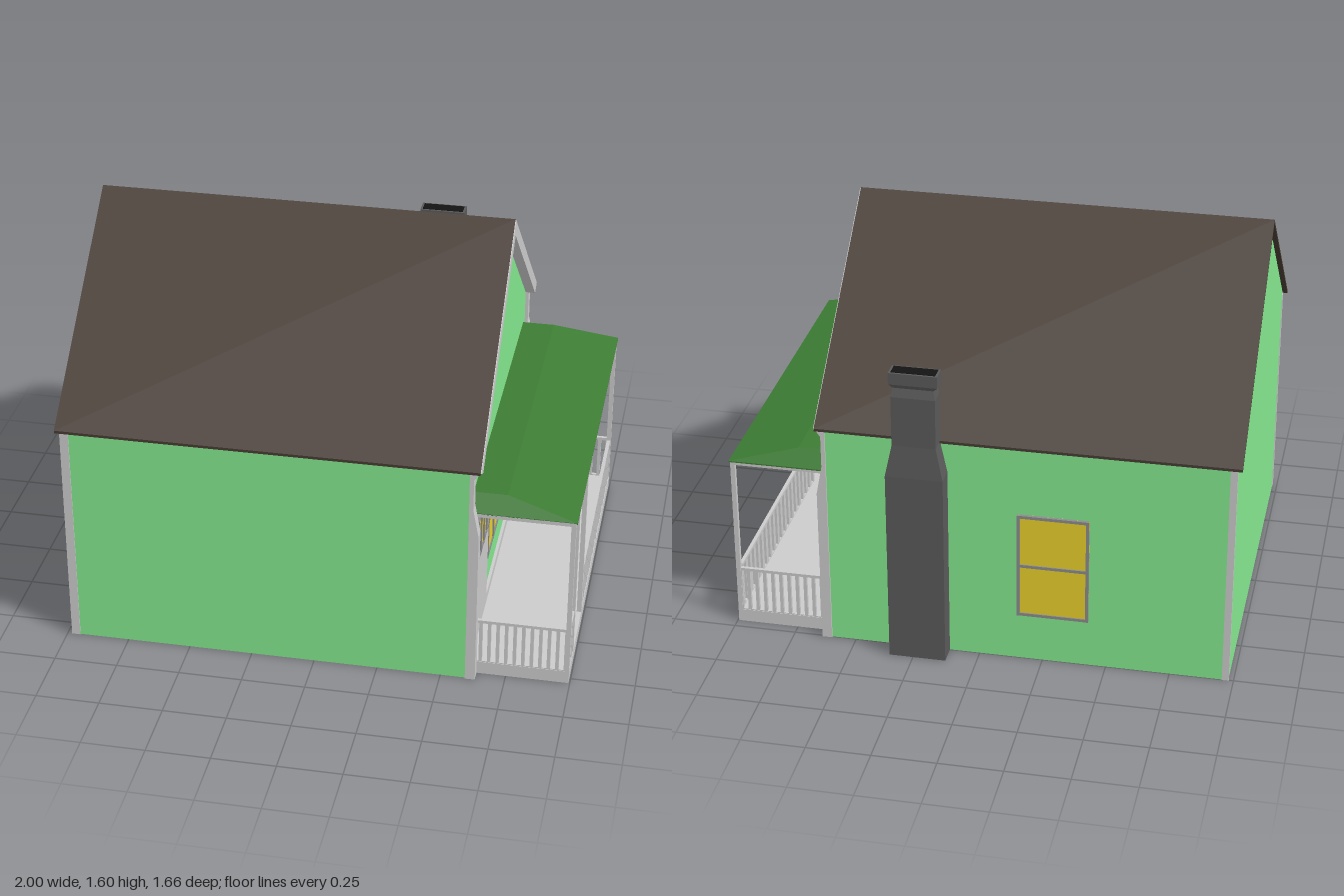
import * as THREE from 'three';
import { ConvexGeometry } from 'three/addons/geometries/ConvexGeometry.js';

const mat = (color) => new THREE.MeshStandardMaterial({ color, flatShading: true });
const grey = mat(0xcccccc), green = mat(0x84e88e), roofBrown = mat(0x463a32), porchGreen = mat(0x3d7d34);
const glass = mat(0xe8cf2c), sash = mat(0x8c8c8c), stone = mat(0x5a5a5a), soot = mat(0x141414);

function add(parent, name, geometry, material) {
  const mesh = new THREE.Mesh(geometry, material);
  mesh.name = name;
  parent.add(mesh);
  return mesh;
}

// Box given by its minimum and maximum corners
function box(parent, name, material, x0, x1, y0, y1, z0, z1) {
  const mesh = add(parent, name, new THREE.BoxGeometry(x1 - x0, y1 - y0, z1 - z0), material);
  mesh.position.set((x0 + x1) / 2, (y0 + y1) / 2, (z0 + z1) / 2);
  return mesh;
}

// Extrude a [z, y] outline along x
function extrudeX(parent, name, material, points, x0, x1) {
  const shape = new THREE.Shape(points.map(([z, y]) => new THREE.Vector2(-z, y)));
  const geo = new THREE.ExtrudeGeometry(shape, { depth: x1 - x0, bevelEnabled: false });
  geo.rotateY(Math.PI / 2).translate(x0, 0, 0);
  return add(parent, name, geo, material);
}

// Window facing +z, with evenly spaced bars
function makeWindow(name, w, h, cols, rows) {
  const g = new THREE.Group();
  g.name = name;
  const t = 0.012;
  box(g, 'glass', glass, -w / 2, w / 2, -h / 2, h / 2, -0.004, 0.004);
  for (let i = 0; i <= cols; i++) {
    const x = -w / 2 + t / 2 + (i * (w - t)) / cols;
    box(g, 'windowBar', sash, x - t / 2, x + t / 2, -h / 2, h / 2, -0.004, 0.01);
  }
  for (let j = 0; j <= rows; j++) {
    const y = -h / 2 + t / 2 + (j * (h - t)) / rows;
    box(g, 'windowBar', sash, -w / 2, w / 2, y - t / 2, y + t / 2, -0.004, 0.009);
  }
  return g;
}

// Slotted railing panel along local x, from 0 to length
function makeRailing(name, length, slots, slotWidth) {
  const shape = new THREE.Shape();
  shape.moveTo(0, 0.02).lineTo(length, 0.02).lineTo(length, 0.245).lineTo(0, 0.245).closePath();
  const pitch = length / slots;
  for (let i = 0; i < slots; i++) {
    const x = (i + 0.5) * pitch - slotWidth / 2;
    const hole = new THREE.Path();
    hole.moveTo(x, 0.057).lineTo(x, 0.233).lineTo(x + slotWidth, 0.233).lineTo(x + slotWidth, 0.057).closePath();
    shape.holes.push(hole);
  }
  const geo = new THREE.ExtrudeGeometry(shape, { depth: 0.014, bevelEnabled: false }).translate(0, 0, -0.007);
  const g = new THREE.Group();
  g.name = name;
  add(g, 'railingPanel', geo, grey);
  return g;
}

function buildHouse(root) {
  const mid = 0.035;
  extrudeX(root, 'walls', green,
    [[0.82, 0], [0.82, 0.931], [mid, 1.588], [-0.75, 0.931], [-0.75, 0]], -0.98, 0.6);
  extrudeX(root, 'mainRoof', roofBrown,
    [[0.83, 0.935], [mid, 1.6], [-0.76, 0.935], [-0.76, 0.924], [mid, 1.588], [0.83, 0.924]], -1, 0.637);
  extrudeX(root, 'gableTrim', grey,
    [[0.829, 0.932], [mid, 1.597], [-0.759, 0.932], [-0.71, 0.907], [mid, 1.53], [0.78, 0.907]], 0.597, 0.64);

  // Corner boards on the porch end, pinched in below the eaves
  const profile = new THREE.Shape([[0.597, 0], [0.636, 0], [0.636, 0.65], [0.613, 0.77], [0.613, 0.9],
    [0.638, 0.935], [0.597, 0.935]].map(([x, y]) => new THREE.Vector2(x, y)));
  for (const z of [0.78, -0.757]) {
    const geo = new THREE.ExtrudeGeometry(profile, { depth: 0.047, bevelEnabled: false });
    add(root, 'cornerBoard', geo.translate(0, 0, z), grey);
  }
  // Corner boards on the plain end
  box(root, 'cornerBoard', grey, -0.982, -0.948, 0, 0.928, 0.8, 0.824);
  box(root, 'cornerBoard', grey, -0.982, -0.955, 0, 0.928, -0.754, -0.74);

  const back = makeWindow('backWindow', 0.28, 0.445, 1, 2);
  back.position.set(-0.29, 0.4225, -0.753);
  back.rotation.y = Math.PI;
  root.add(back);
}

function buildPorchWall(root) {
  for (const [z0, z1] of [[0.04, 0.352], [-0.55, -0.27]]) {
    const w = makeWindow('porchWindow', z1 - z0, 0.4, 2, 2);
    w.position.set(0.603, 0.45, (z0 + z1) / 2);
    w.rotation.y = Math.PI / 2;
    root.add(w);
  }
  // Door with a row of four panes
  const door = new THREE.Group();
  door.name = 'door';
  box(door, 'doorFrame', grey, 0.598, 0.608, 0.05, 0.65, 0.352, 0.706);
  box(door, 'doorPanel', grey, 0.6, 0.614, 0.07, 0.45, 0.38, 0.69);
  const panes = makeWindow('doorPanes', 0.31, 0.19, 4, 1);
  panes.position.set(0.61, 0.54, 0.535);
  panes.rotation.y = Math.PI / 2;
  door.add(panes);
  root.add(door);
}

function buildPorch(root) {
  const porch = new THREE.Group();
  porch.name = 'porch';
  root.add(porch);
  const zF = 0.78, zB = -0.707;
  box(porch, 'porchFloor', grey, 0.6, 0.995, 0, 0.053, zB, zF);
  box(porch, 'baseboard', grey, 0.598, 0.612, 0.05, 0.09, zB, zF);

  // Posts and the beam they carry
  for (const z of [zF - 0.009, 0.637, 0.357, zB + 0.009])
    box(porch, 'porchPost', grey, 0.977, 0.995, 0, 0.72, z - 0.009, z + 0.009);
  box(porch, 'frontBeam', grey, 0.977, 0.995, 0.705, 0.727, zB, zF);
  for (const z of [zF - 0.018, zB])
    box(porch, 'sideBeam', grey, 0.6, 0.99, 0.712, 0.727, z, z + 0.018);
  box(porch, 'ceiling', grey, 0.6, 0.99, 0.718, 0.727, zB, zF);

  // Hipped roof with a short flat top at the wall
  const pts = [];
  for (const [edge, top] of [[zF, 0.728], [zB - 0.003, -0.66]])
    pts.push([0.6, 0.724, edge], [1, 0.724, edge], [1, 0.729, edge], [0.6, 0.729, edge],
      [0.6, 0.79, top], [0.73, 0.79, top]);
  add(porch, 'porchRoof', new ConvexGeometry(pts.map((p) => new THREE.Vector3(...p))), porchGreen);

  // Railings: two along the outer edge with a gap for the door, one at each side
  for (const [z, len, n] of [[0.363, 1.036, 19], [0.772, 0.136, 3]]) {
    const r = makeRailing('outerRailing', len, n, 0.029);
    r.position.set(0.986, 0, z);
    r.rotation.y = Math.PI / 2;
    porch.add(r);
  }
  for (const z of [zF - 0.009, zB + 0.009]) {
    const r = makeRailing('sideRailing', 0.365, 11, 0.02);
    r.position.set(0.615, 0, z);
    porch.add(r);
  }
}

// Chimney lofted through rectangular sections: [y, half width, near z, far z]
function buildChimney(root) {
  const chimney = new THREE.Group();
  chimney.name = 'chimney';
  root.add(chimney);
  const cx = 0.232;
  const sections = [[0, 0.112, -0.745, -0.832], [0.8, 0.112, -0.745, -0.832], [0.93, 0.085, -0.745, -0.822],
    [1.135, 0.085, -0.745, -0.822], [1.17, 0.078, -0.755, -0.812], [1.185, 0.094, -0.75, -0.818],
    [1.232, 0.094, -0.75, -0.818]];
  for (let i = 0; i + 1 < sections.length; i++) {
    const pts = [];
    for (const [y, w, a, b] of [sections[i], sections[i + 1]])
      for (const x of [cx - w, cx + w]) pts.push(new THREE.Vector3(x, y, a), new THREE.Vector3(x, y, b));
    add(chimney, 'chimneySection', new ConvexGeometry(pts), stone);
  }
  box(chimney, 'flueOpening', soot, cx - 0.085, cx + 0.085, 1.22, 1.234, -0.81, -0.758);
}

export function createModel() {
  const root = new THREE.Group();
  root.name = 'house';
  buildHouse(root);
  buildPorchWall(root);
  buildPorch(root);
  buildChimney(root);
  return root;
}
